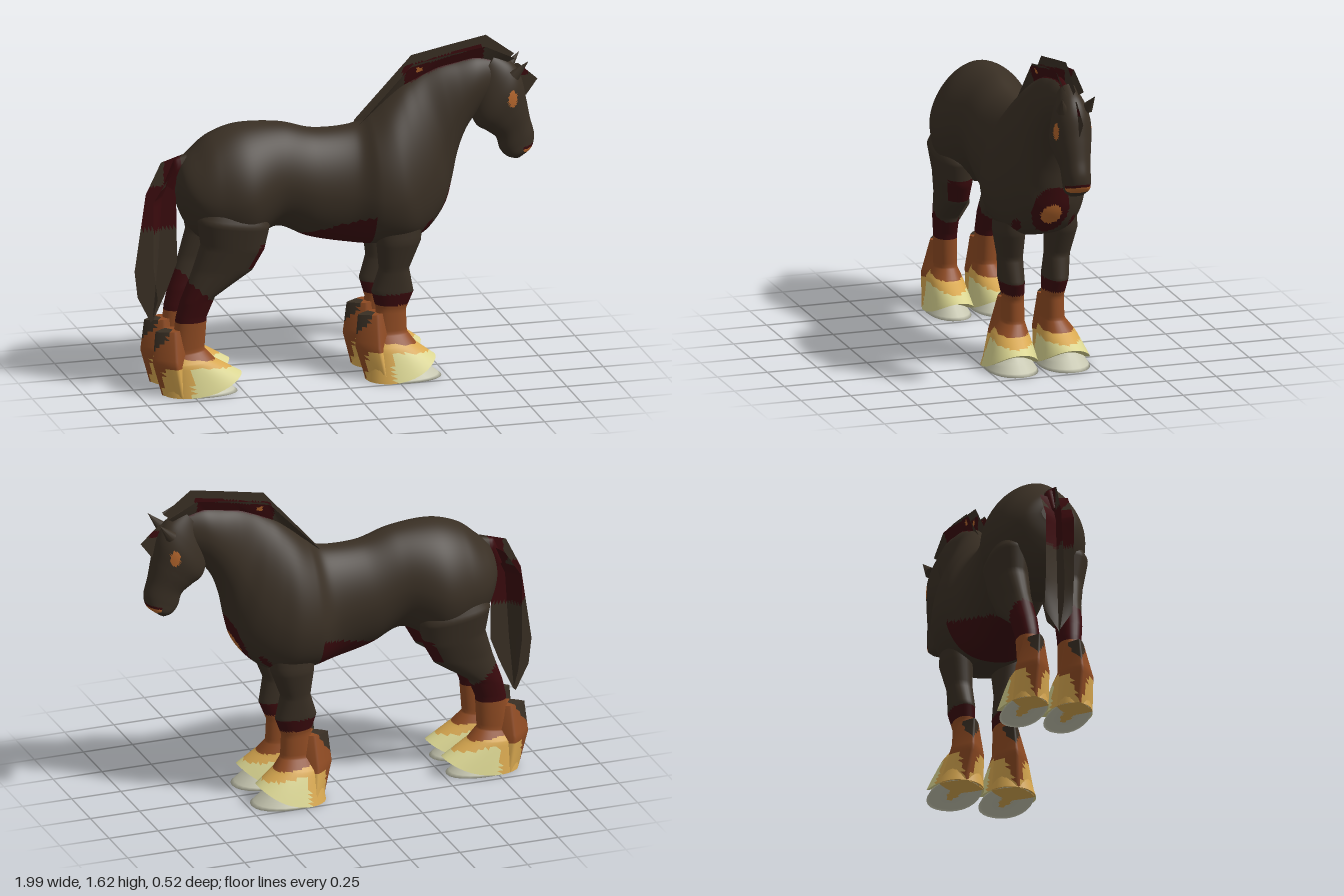
import * as THREE from 'three';

// Double-sided, because the hair sheets share the coat colours
const mat = (name, color) => {
  const m = new THREE.MeshStandardMaterial({ color, side: THREE.DoubleSide });
  m.name = name;
  return m;
};
const palette = [
  mat('dark coat', 0x392f24), mat('dark red', 0x3a0a0d), mat('orange mark', 0xb3652c),
  mat('russet', 0x8f4b23), mat('gold', 0xd8a850), mat('cream', 0xdad591), mat('hoof', 0xc6c6b0),
];
const [COAT, RED, ORANGE, RUSSET, GOLD, CREAM, HOOF] = palette.keys();

// Builds a mesh whose triangles are sorted into material groups by a colour rule.
function paintedMesh(name, pos, tris, paint) {
  const buckets = palette.map(() => []);
  for (const t of tris) {
    const c = [0, 1, 2].map(k => (pos[t[0] * 3 + k] + pos[t[1] * 3 + k] + pos[t[2] * 3 + k]) / 3);
    buckets[paint(...c)].push(...t);
  }
  const g = new THREE.BufferGeometry();
  g.setAttribute('position', new THREE.Float32BufferAttribute(pos, 3));
  g.setIndex(buckets.flat());
  let start = 0;
  buckets.forEach((b, i) => {
    if (b.length) g.addGroup(start, b.length, i);
    start += b.length;
  });
  g.computeVertexNormals();
  const mesh = new THREE.Mesh(g, palette);
  mesh.name = name;
  return mesh;
}

// Closed loft. A ring is [ax, ay, bx, by, halfWidth, zCentre, lift]: a and b are
// opposite points in the side plane, lift lowers the widest point of the ring.
// power shapes the section: 1 is an ellipse, 2 a diamond.
function loft(name, rings, paint, { smooth = false, segs = 24, sub = 6, power = 0.9 } = {}) {
  const full = rings.map(r => [...r, ...[0, 1].slice(r.length - 5)]);
  const pos = [], tris = [];
  const at = i => full[Math.min(Math.max(i, 0), full.length - 1)];
  const addRing = ([ax, ay, bx, by, w, zc, lift]) => {
    for (let j = 0; j < segs; j++) {
      const a = (j / segs) * Math.PI * 2;
      const [c, s] = [Math.cos(a), Math.sin(a)].map(v => Math.sign(v) * Math.abs(v) ** power);
      const t = (1 + c) / 2;
      pos.push(bx + (ax - bx) * t, by + (ay - by) * t ** lift, zc + s * w);
    }
  };
  for (let i = 0; i < full.length - 1; i++) {
    for (let k = 0; k < sub; k++) {
      const t = k / sub;
      addRing(at(i).map((p1, n) => {
        const p0 = at(i - 1)[n], p2 = at(i + 1)[n], p3 = at(i + 2)[n];
        if (!smooth) return p1 + (p2 - p1) * t;
        return p1 + 0.5 * t * (p2 - p0 + t * (2 * p0 - 5 * p1 + 4 * p2 - p3 + t * (3 * (p1 - p2) + p3 - p0)));
      }));
    }
  }
  addRing(full.at(-1));
  const count = (full.length - 1) * sub + 1;
  for (let i = 0; i < count - 1; i++) {
    for (let j = 0; j < segs; j++) {
      const a = i * segs + j, b = i * segs + (j + 1) % segs;
      tris.push([a, b, a + segs], [b, b + segs, a + segs]);
    }
  }
  // End caps with their own vertices, so the rim stays crisp
  for (const [row, flip] of [[0, true], [count - 1, false]]) {
    const first = pos.length / 3, mid = [0, 0, 0];
    for (let j = 0; j < segs; j++) {
      for (let k = 0; k < 3; k++) {
        const v = pos[(row * segs + j) * 3 + k];
        pos.push(v);
        mid[k] += v / segs;
      }
    }
    pos.push(...mid);
    for (let j = 0; j < segs; j++) {
      const a = first + j, b = first + (j + 1) % segs;
      tris.push(flip ? [b, a, first + segs] : [a, b, first + segs]);
    }
  }
  return paintedMesh(name, pos, tris, paint);
}

// Hair sheet between a base line and an outer line, leaning sideways to flare.
function hairSheet(name, base, outer, zBase, flare, paint) {
  const pos = [], tris = [], sub = 12, rows = 10, n = (base.length - 1) * sub;
  for (let i = 0; i <= n; i++) {
    const k = Math.min(Math.floor(i / sub), base.length - 2), t = i / sub - k;
    const mix = (line, d) => line[k][d] + (line[k + 1][d] - line[k][d]) * t;
    for (let j = 0; j <= rows; j++) {
      const f = j / rows, bx = mix(base, 0), by = mix(base, 1);
      pos.push(bx + (mix(outer, 0) - bx) * f, by + (mix(outer, 1) - by) * f, zBase + (flare - zBase) * f);
      if (i < n && j < rows) {
        const a = i * (rows + 1) + j, b = a + rows + 1;
        tris.push([a, b, a + 1], [b, b + 1, a + 1]);
      }
    }
  }
  return paintedMesh(name, pos, tris, paint);
}

const inOval = (u, v, ru, rv) => (u / ru) ** 2 + (v / rv) ** 2 < 1;

function paintBody(x, y, z) {
  if (x > 0.4 && y < 1) {
    if (inOval(z, y - 0.81, 0.052, 0.054)) return ORANGE;
    if (inOval(z, y - 0.83, 0.093, 0.128)) return RED;
  }
  if (x > 0.3 && inOval(Math.abs(z) - 0.14, y - 0.725, 0.018, 0.05)) return RED;
  if (x > -0.2 && x < 0.14 && y < 0.735 + (x + 0.2) * 0.28) return RED;
  // Crest between the mane sheets
  return x > 0.36 && x < 0.78 && y > 1.42 && Math.abs(z) < 0.028 ? RED : COAT;
}

function paintHead(x, y, z) {
  if (inOval(x - 0.85, y - 1.32, 0.024, 0.04)) return ORANGE;
  if (x > 0.91 && inOval(z, y - 1.05, 0.066, 0.018)) return ORANGE;
  return x > 0.91 && inOval(z, y - 1.058, 0.07, 0.024) ? RED : COAT;
}

const paintTail = (x, y) => (y > 0.8 && y < 1.01 || (y > 1.01 && x > -0.85 && x < -0.77) ? RED : COAT);

// Leg bands; rear is the x behind which the fetlock is gold.
const paintLeg = (redTop, slope, rear) => (x, y) => {
  if (y > redTop + slope * (rear - x)) {
    return y < 0.73 && y > 0.61 && x < 0 && x > -0.42 - (0.73 - y) * 0.5 ? RED : COAT;
  }
  if (y > 0.36) return RED;
  const edge = 0.17 - (x - rear) * 0.12;
  if (y > edge + 0.01 || x < rear - 0.12) return RUSSET;
  return y > edge - 0.025 || x < rear ? GOLD : CREAM;
};

function addLeg(parent, name, rings, side, paint, shift) {
  const leg = new THREE.Group();
  leg.name = name;
  const footZ = rings.at(-1)[5], footW = rings.at(-1)[4];
  const flip = r => r.map((v, i) => (i === 5 ? v * side : v));
  const move = ([ax, ay, bx, by, w, z]) => flip([ax + shift, ay, bx + shift, by, w, z]);
  leg.add(loft('legAndFeathering', rings.map(flip), paint, { sub: 8, segs: 32 }));
  // Hoof with a hollow sole
  leg.add(loft('hoof', [
    [0.38, 0.09, 0.2, 0.06, 0.05, footZ], [0.415, 0.055, 0.14, 0.02, footW - 0.03, footZ],
    [0.48, 0, 0.12, 0, footW - 0.008, footZ], [0.4, 0.01, 0.18, 0.01, 0.06, footZ], [0.3, 0.01, 0.26, 0.01, 0.01, footZ],
  ].map(move), (x, y, z) => (y < 0.02 && inOval(x - shift - 0.29, Math.abs(z) - footZ, 0.08, 0.028) ? GOLD : HOOF), { sub: 4 }));
  // Feathering behind the fetlock, thin at its rear edge
  leg.add(loft('heelTuft', [
    [0.25, 0.325, 0.08, 0.315, 0.05, 0.1], [0.26, 0.165, 0.064, 0.165, 0.085, 0.11], [0.27, 0, 0.11, 0, footW - 0.02, footZ],
  ].map(move), (x, y) => {
    if (y > 0.2 && x < shift + 0.06 + (y - 0.2) * 0.75) return COAT;
    return y < 0.15 && x > shift + 0.11 ? GOLD : RUSSET;
  }, { segs: 24, sub: 8, power: 1.7 }));
  parent.add(leg);
}

export function createModel() {
  const horse = new THREE.Group();
  horse.name = 'horse';

  // Trunk and neck, rump to poll
  horse.add(loft('bodyAndNeck', [
    [-0.795, 1.06, -0.795, 0.97, 0.05], [-0.77, 1.12, -0.775, 0.88, 0.125], [-0.71, 1.18, -0.72, 0.78, 0.185, 0, 1.1],
    [-0.62, 1.25, -0.62, 0.71, 0.225, 0, 1.15], [-0.48, 1.29, -0.47, 0.7, 0.25, 0, 1.2], [-0.28, 1.28, -0.31, 0.77, 0.19, 0, 1.1],
    [-0.11, 1.235, -0.15, 0.705, 0.185, 0, 1.1], [0.08, 1.24, 0.02, 0.665, 0.19, 0, 1.15], [0.16, 1.29, 0.17, 0.65, 0.24, 0, 1.35],
    [0.23, 1.35, 0.32, 0.66, 0.25, 0, 1.5], [0.3, 1.405, 0.43, 0.7, 0.215, 0, 1.5], [0.36, 1.44, 0.525, 0.81, 0.17, 0, 1.45],
    [0.42, 1.47, 0.565, 0.93, 0.13, 0, 1.35], [0.5, 1.5, 0.59, 1.05, 0.112, 0, 1.25], [0.58, 1.515, 0.625, 1.15, 0.1, 0, 1.15],
    [0.68, 1.53, 0.67, 1.22, 0.085], [0.78, 1.51, 0.73, 1.28, 0.06],
  ], paintBody, { smooth: true, segs: 80, sub: 10, power: 1.1 }));

  // Head, poll to muzzle
  horse.add(loft('head', [
    [0.78, 1.53, 0.69, 1.42, 0.045], [0.865, 1.48, 0.67, 1.26, 0.08], [0.91, 1.41, 0.69, 1.185, 0.095],
    [0.935, 1.3, 0.74, 1.15, 0.085], [0.955, 1.2, 0.79, 1.11, 0.07], [0.975, 1.12, 0.81, 1.05, 0.065],
    [0.965, 1.06, 0.84, 1.015, 0.06], [0.93, 1.03, 0.88, 1, 0.035],
  ], paintHead, { smooth: true, segs: 60, sub: 12 }));

  // Tail dock, then a central sheet of hair and one to each side
  horse.add(loft('tailDock', [
    [-0.74, 1.06, -0.72, 1.16, 0.035], [-0.785, 1.04, -0.8, 1.14, 0.03], [-0.8, 0.98, -0.85, 1.02, 0.015],
  ], paintTail, { segs: 12 }));
  horse.add(hairSheet('tailCentre',
    [[-0.74, 1.06], [-0.785, 1.03], [-0.79, 0.95], [-0.785, 0.62], [-0.83, 0.5], [-0.9, 0.345]],
    [[-0.72, 1.17], [-0.865, 1.125], [-0.94, 0.97], [-0.995, 0.59], [-0.98, 0.46], [-0.915, 0.33]], 0, 0, paintTail));

  // Mane in three sheets, and the forelock
  const maneBase = [[0.1, 1.23], [0.3, 1.39], [0.48, 1.48], [0.68, 1.515], [0.83, 1.48]];
  const maneEdge = [[0.1, 1.245], [0.37, 1.555], [0.55, 1.59], [0.74, 1.625], [0.88, 1.52]];
  const maneSide = [[0.1, 1.24], [0.365, 1.52], [0.545, 1.555], [0.725, 1.58], [0.87, 1.51]];
  const paintMane = (x, y) => {
    if (inOval(x - 0.4, y - 1.49, 0.016, 0.014)) return ORANGE;
    return x > 0.33 && x < 0.72 && y < 1.505 + (x - 0.36) * 0.22 ? RED : COAT;
  };
  horse.add(hairSheet('maneCentre', maneBase, maneEdge, 0, 0, paintMane));
  const lockBase = [[0.85, 1.47], [0.91, 1.39], [0.935, 1.31]];
  const lockEdge = [[0.9, 1.47], [0.995, 1.385], [0.94, 1.31]];
  horse.add(hairSheet('forelock', lockBase, lockEdge, 0, 0, (x, y) => (x < 0.95 && y > 1.41 && y < 1.44 ? RED : COAT)));

  const hindRings = [
    [-0.44, 0.98, -0.66, 0.98, 0.05, 0.14], [-0.37, 0.82, -0.725, 0.87, 0.1, 0.143],
    [-0.395, 0.7, -0.705, 0.74, 0.085, 0.135], [-0.45, 0.6, -0.745, 0.61, 0.07, 0.125],
    [-0.63, 0.48, -0.8, 0.46, 0.06, 0.112], [-0.67, 0.38, -0.82, 0.38, 0.054, 0.105],
    [-0.68, 0.22, -0.84, 0.2, 0.052, 0.1], [-0.63, 0.165, -0.87, 0.15, 0.08, 0.107],
    [-0.5, 0.09, -0.88, 0, 0.11, 0.11, 3],
  ];
  const foreRings = [
    [0.4, 0.88, 0.16, 0.88, 0.06, 0.13], [0.38, 0.68, 0.165, 0.68, 0.075, 0.13],
    [0.325, 0.54, 0.18, 0.54, 0.06, 0.118], [0.35, 0.42, 0.145, 0.43, 0.058, 0.11],
    [0.315, 0.33, 0.17, 0.34, 0.05, 0.1], [0.32, 0.22, 0.16, 0.22, 0.053, 0.1],
    [0.36, 0.165, 0.13, 0.15, 0.085, 0.115], [0.45, 0.1, 0.11, 0, 0.13, 0.13, 3],
  ];
  const tailMid = [[-0.79, 1.1], [-0.86, 0.95], [-0.88, 0.62], [-0.905, 0.35]];
  const tailSide = [[-0.83, 1.09], [-0.92, 0.95], [-0.92, 0.62], [-0.9, 0.46]];
  for (const [side, label] of [[1, 'Right'], [-1, 'Left']]) {
    addLeg(horse, `foreLeg${label}`, foreRings, side, paintLeg(0.42, 0, 0.22), 0);
    addLeg(horse, `hindLeg${label}`, hindRings, side, paintLeg(0.56, 0.9, -0.76), -1);
    horse.add(hairSheet(`maneSide${label}`, maneBase, maneSide, 0.02 * side, 0.045 * side, paintMane));
    horse.add(hairSheet(`tailSide${label}`, tailMid, tailSide, 0, 0.07 * side, paintTail));

    // Ear, leaning forward and outward
    const ear = new THREE.Mesh(new THREE.ConeGeometry(0.029, 0.1, 8), palette[COAT]);
    ear.name = `ear${label}`;
    ear.position.set(0.895, 1.465, 0.073 * side);
    ear.quaternion.setFromUnitVectors(new THREE.Vector3(0, 1, 0), new THREE.Vector3(0.7, 0.8, 0.2 * side).normalize());
    horse.add(ear);
  }
  return horse;
}
